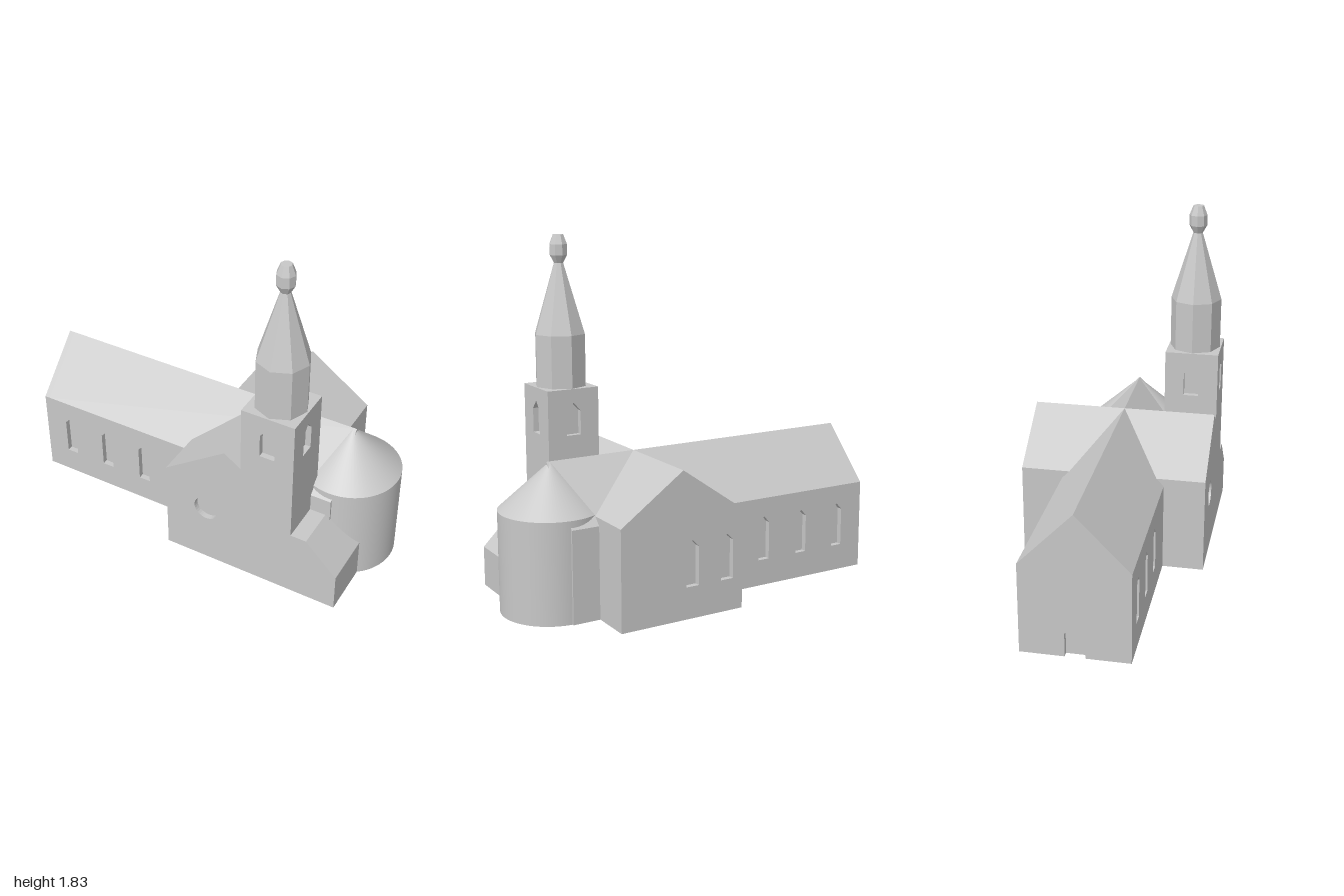
import * as THREE from 'three';

const stone = new THREE.MeshStandardMaterial({ color: 0xc8c8c8 });
const T = 0.03; // depth of the window recesses

const polygon = (pts) => new THREE.Shape(pts.map(([x, y]) => new THREE.Vector2(x, y)));

// Pointed opening outline centred on x
const lancet = (x, w, y0, shoulder, top) => new THREE.Path(
  [[x - w / 2, y0], [x + w / 2, y0], [x + w / 2, shoulder], [x, top], [x - w / 2, shoulder]]
    .map(([a, b]) => new THREE.Vector2(a, b)));

const rect = (x0, x1, h) => polygon([[x0, 0], [x1, 0], [x1, h], [x0, h]]);

export function createModel() {
  const model = new THREE.Group();
  model.name = 'church';

  const add = (name, geometry, parent = model) => {
    const mesh = new THREE.Mesh(geometry, stone);
    mesh.name = name;
    parent.add(mesh);
    return mesh;
  };
  const extrude = (shape, depth) =>
    new THREE.ExtrudeGeometry(shape, { depth, bevelEnabled: false, curveSegments: 16 });

  // Wall plate with its outer face at distance d from the centre, turned by angle about y
  const wall = (name, shape, holes, d, angle, parent = model) => {
    shape.holes.push(...holes);
    const geo = extrude(shape, T).translate(0, 0, d - T).rotateY(angle);
    return add(name, geo, parent);
  };

  // Solid gabled body, its side walls or ends set back behind the wall plates
  const NW = 0.272, NE = 0.475, RIDGE = 0.755;
  const naveCore = polygon([[-NW + T, 0], [NW - T, 0], [NW - T, NE], [NW, NE],
    [0, RIDGE], [-NW, NE], [-NW + T, NE]]);
  // section x maps to -z after turning towards +x
  add('naveBody', extrude(naveCore, 1.725).rotateY(Math.PI / 2).translate(-1 + T, 0, 0));

  // Nave side walls with three lancet windows each
  const naveWindows = [-0.84, -0.6, -0.36];
  for (const s of [1, -1]) {
    const x0 = -1 + T, x1 = 0.755;
    wall(s > 0 ? 'naveFrontWall' : 'naveBackWall',
      s > 0 ? rect(x0, x1, NE) : rect(-x1, -x0, NE),
      naveWindows.map((x) => lancet(s * x, 0.065, 0.14, 0.34, 0.375)),
      NW, s > 0 ? 0 : Math.PI);
  }

  // West gable with a pointed doorway open at the ground
  wall('westGable', polygon([[-NW, 0], [-0.05, 0], [-0.05, 0.125], [0, 0.17], [0.05, 0.125],
    [0.05, 0], [NW, 0], [NW, NE], [0, RIDGE], [-NW, NE]]), [], 1, -Math.PI / 2);

  // Transept crossing the nave
  const TX0 = -0.075, TX1 = 0.61, TR = 0.268, TE = 0.515, TZ = 0.49;
  const gable = (s) => polygon([[s * TX0, 0], [s * TX1, 0], [s * TX1, TE], [s * TR, RIDGE], [s * TX0, TE]]);
  add('transeptBody', extrude(gable(1), 2 * (TZ - T)).translate(0, 0, -TZ + T));
  const rose = new THREE.Path();
  rose.absarc(0.16, 0.34, 0.068, 0, Math.PI * 2, true);
  wall('transeptFrontGable', gable(1), [rose], TZ, 0);
  wall('transeptBackGable', gable(-1),
    [0.215, 0.015].map((x) => lancet(-x, 0.07, 0.165, 0.365, 0.4)), TZ, Math.PI);

  // Round apse with a conical roof
  const AX = 0.738, AR = 0.262;
  add('apseWall', new THREE.CylinderGeometry(AR, AR, 0.52, 64).translate(AX, 0.26, 0));
  add('apseRoof', new THREE.ConeGeometry(AR, 0.235, 64).translate(AX, 0.6375, 0));

  // Low annex with a sloping roof beside the tower
  add('annex', extrude(polygon([[0.6, 0], [0.9, 0], [0.9, 0.21], [0.73, 0.38], [0.6, 0.38]]), 0.285)
    .translate(0, 0, 0.205));

  // Square tower with a belfry window on each side
  const tower = new THREE.Group();
  tower.name = 'tower';
  tower.position.set(0.502, 0, 0.3475);
  model.add(tower);
  const H = 0.1425, TH = 1.06;
  add('towerCore', new THREE.BoxGeometry(2 * (H - T), TH, 2 * (H - T)).translate(0, TH / 2, 0), tower);
  for (let i = 0; i < 4; i++) {
    const w = i % 2 ? H - T : H;
    wall('towerWall', rect(-w, w, TH), [lancet(0, 0.08, 0.82, 0.945, 0.99)], H, i * Math.PI / 2, tower);
  }

  // Eight-sided drum, spire and finial
  const octagonal = (name, pts) => {
    const geo = new THREE.LatheGeometry(pts.map(([r, y]) => new THREE.Vector2(r, y)), 8).toNonIndexed();
    geo.computeVertexNormals();
    add(name, geo, tower);
  };
  octagonal('belfryDrum', [[0.135, TH], [0.135, 1.33]]);
  octagonal('spire', [[0.135, 1.33], [0.025, 1.69]]);
  octagonal('finial', [[0.025, 1.69], [0.047, 1.73], [0.047, 1.785], [0.028, 1.834], [0, 1.834]]);

  return model;
}
